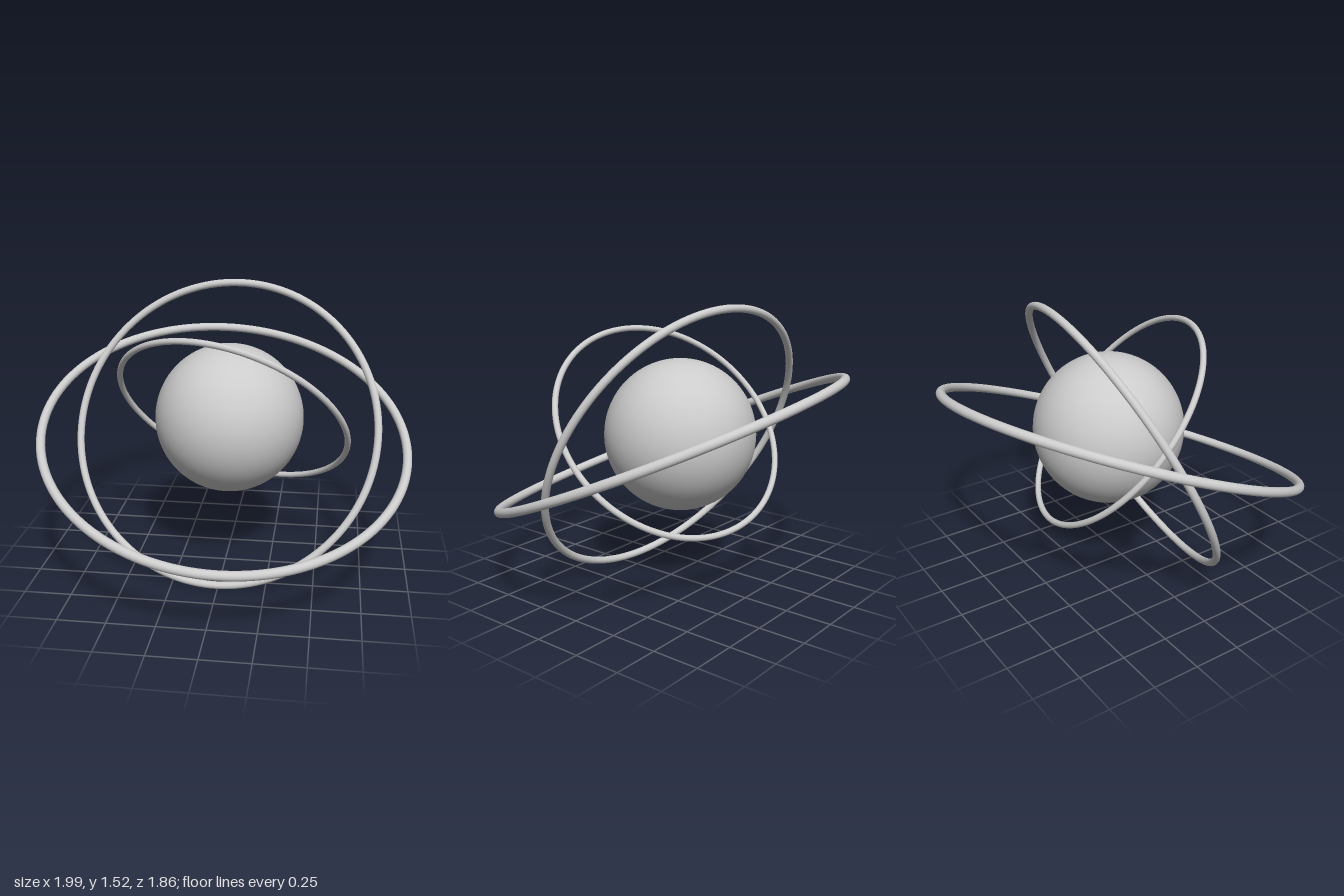
import * as THREE from 'three';

// centre, ring radius, tube radius and the axis each ring turns about
const RINGS = [
  { name: 'outerRing', centre: [0, 0.765, 0], radius: 0.977, tube: 0.024, axis: [0.102, 0.92, 0.377] },
  { name: 'middleRing', centre: [-0.013, 0.765, -0.025], radius: 0.826, tube: 0.02, axis: [-0.121, 0.443, 0.888] },
  { name: 'innerRing', centre: [0.03, 0.86, -0.02], radius: 0.639, tube: 0.016, axis: [0.232, 0.654, -0.72] },
];

export function createModel() {
  const model = new THREE.Group();
  model.name = 'ringedSphere';
  const grey = new THREE.MeshStandardMaterial({ color: 0xcccccc });

  // Central ball
  const core = new THREE.Mesh(new THREE.SphereGeometry(0.402, 64, 48), grey);
  core.name = 'coreSphere';
  core.position.set(0.013, 0.826, -0.073);
  model.add(core);

  // Tilted orbit rings
  const torusAxis = new THREE.Vector3(0, 0, 1);
  for (const { name, centre, radius, tube, axis } of RINGS) {
    const ring = new THREE.Mesh(new THREE.TorusGeometry(radius, tube, 20, 144), grey);
    ring.name = name;
    ring.position.set(...centre);
    ring.quaternion.setFromUnitVectors(torusAxis, new THREE.Vector3(...axis).normalize());
    model.add(ring);
  }
  return model;
}
